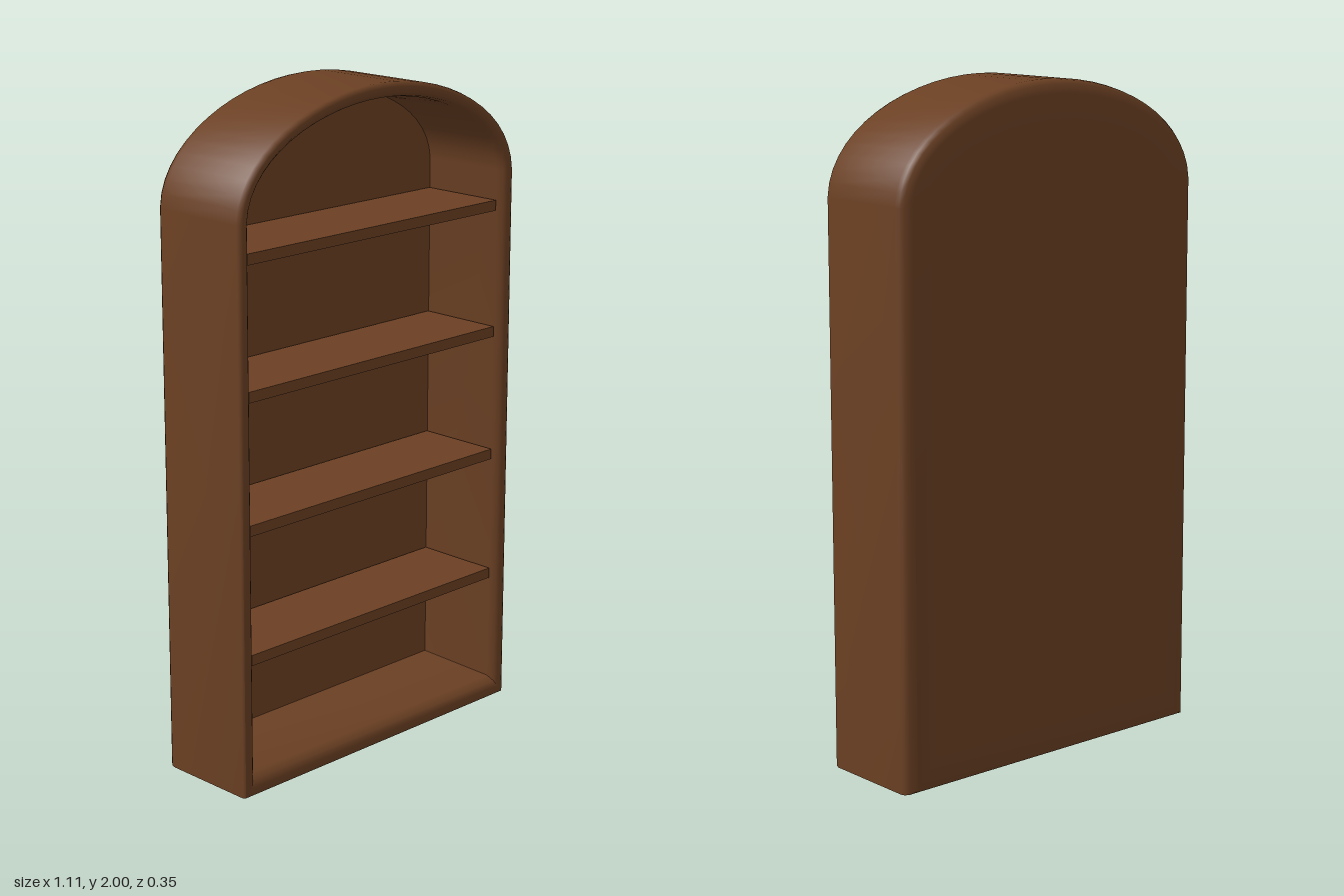
import * as THREE from 'three';
import { toCreasedNormals } from 'three/addons/utils/BufferGeometryUtils.js';

const WOOD = new THREE.MeshStandardMaterial({ color: 0x6b4023 });

// Arched outline, counter-clockwise from the bottom right corner
function archOutline(inset, bottom, z) {
  const w = 0.555 - inset;
  const top = 2 - inset * 1.15;
  const shoulder = new THREE.CubicBezierCurve(
    new THREE.Vector2(w, 1.68),
    new THREE.Vector2(w - 0.01, 1.87 - inset * 0.6),
    new THREE.Vector2(w * 0.49, top),
    new THREE.Vector2(0, top)
  ).getPoints(14);
  const right = [new THREE.Vector2(w, bottom), ...shoulder];
  const left = right.slice(0, -1).reverse().map(p => new THREE.Vector2(-p.x, p.y));
  return [...right, ...left].map(p => new THREE.Vector3(p.x, p.y, z));
}

// Joins closed rings of equal length into one surface
function loft(rings, crease) {
  const pos = [];
  const tri = (a, b, c) => {
    const area = new THREE.Vector3().subVectors(b, a).cross(new THREE.Vector3().subVectors(c, a));
    if (area.length() > 1e-9) for (const p of [a, b, c]) pos.push(p.x, p.y, p.z);
  };
  for (let i = 0; i < rings.length - 1; i++) {
    const n = rings[i].length;
    for (let j = 0; j < n; j++) {
      const k = (j + 1) % n;
      tri(rings[i][j], rings[i][k], rings[i + 1][j]);
      tri(rings[i][k], rings[i + 1][k], rings[i + 1][j]);
    }
  }
  const geo = new THREE.BufferGeometry();
  geo.setAttribute('position', new THREE.Float32BufferAttribute(pos, 3));
  return toCreasedNormals(geo, crease);
}

export function createModel() {
  const bookcase = new THREE.Group();
  bookcase.name = 'archedBookcase';

  // Case: back, rounded edges, sides, front rim, inner walls, back panel
  const profile = [ // inset, bottom height, z
    [0.1, 0.1, -0.174],
    [0.035, 0.012, -0.17],
    [0.012, 0.004, -0.162],
    [0.003, 0.001, -0.15],
    [0, 0, -0.135],
    [0, 0, 0.16],
    [0.003, 0.003, 0.17],
    [0.012, 0.01, 0.175],
    [0.026, 0.028, 0.174],
    [0.036, 0.045, 0.164],
    [0.04, 0.058, 0.14],
    [0.043, 0.066, -0.125]
  ];
  const rings = profile.map(p => archOutline(...p));
  const hub = z => rings[0].map(() => new THREE.Vector3(0, 0.95, z));
  const shell = new THREE.Mesh(loft([hub(-0.175), ...rings, hub(-0.125)], 0.8), WOOD);
  shell.name = 'case';
  bookcase.add(shell);

  // Four evenly spaced shelves
  for (let i = 0; i < 4; i++) {
    const shelf = new THREE.Mesh(new THREE.BoxGeometry(1.01, 0.032, 0.27), WOOD);
    shelf.name = 'shelf' + (i + 1);
    shelf.position.set(0, 0.408 + i * 0.389, 0.015);
    bookcase.add(shelf);
  }
  return bookcase;
}
